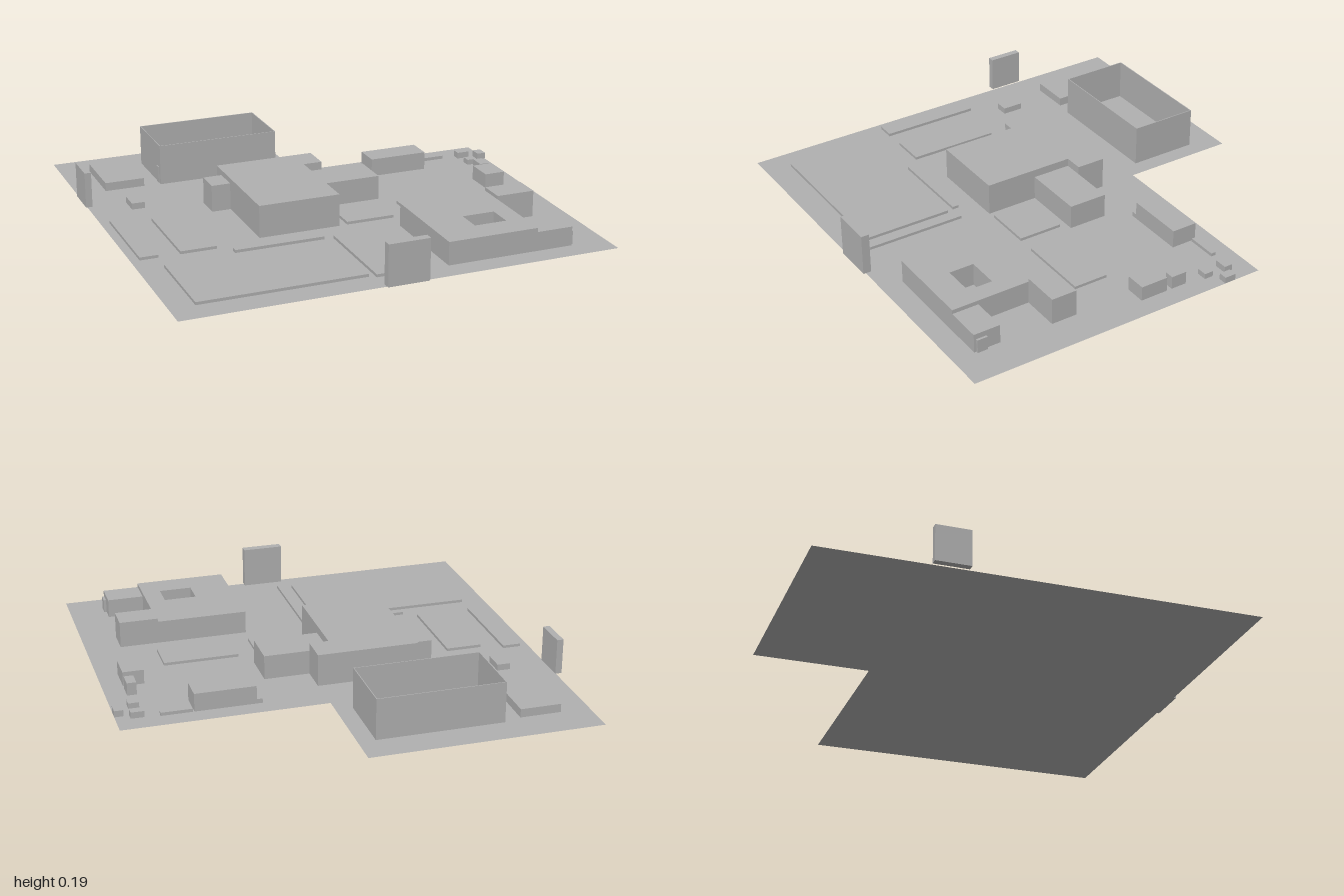
import * as THREE from 'three';

export function createModel() {
  const model = new THREE.Group();
  model.name = 'siteModel';
  const grey = new THREE.MeshStandardMaterial({ color: 0xb0b0b0 });
  grey.name = 'model grey';
  const groundGrey = grey;
  groundGrey.side = THREE.DoubleSide;

  const add = (name, geometry) => {
    const mesh = new THREE.Mesh(geometry, grey);
    mesh.name = name;
    model.add(mesh);
    return mesh;
  };

  // Box given by its plan limits and its bottom and top heights
  const block = (name, x0, x1, z0, z1, top, bottom = 0.001) => {
    const g = new THREE.BoxGeometry(x1 - x0, top - bottom, z1 - z0);
    g.translate((x0 + x1) / 2, (bottom + top) / 2, (z0 + z1) / 2);
    return add(name, g);
  };

  // Plan outlines are [x, z]; rotation lays them down, so z is negated
  const toPoints = (plan) => plan.map(([x, z]) => new THREE.Vector2(x, -z));
  const rect = (x0, x1, z0, z1) => [[x0, z0], [x0, z1], [x1, z1], [x1, z0]];
  const planShape = (outer, hole) => {
    const shape = new THREE.Shape(toPoints(outer));
    if (hole) shape.holes.push(new THREE.Path(toPoints(hole)));
    return shape;
  };
  const extrudePlan = (name, height, outer, hole) => {
    const g = new THREE.ExtrudeGeometry(planShape(outer, hole), { depth: height - 0.001, bevelEnabled: false });
    g.rotateX(-Math.PI / 2);
    g.translate(0, 0.001, 0);
    return add(name, g);
  };

  // Ground sheet with a missing corner
  const ground = new THREE.ShapeGeometry(planShape([
    [-0.985, -0.985], [-0.985, 0.965], [0.995, 0.965], [0.995, -0.457], [0.07, -0.457], [0.07, -0.985],
  ]));
  ground.rotateX(-Math.PI / 2);
  add('ground', ground);

  // Roofless hall with thin walls and a side door
  extrudePlan('openHall', 0.19,
    rect(-0.585, -0.008, -0.845, -0.528), rect(-0.581, -0.012, -0.841, -0.532));
  block('hallDoor', -0.588, -0.584, -0.578, -0.55, 0.08);

  // Stepped main building and its wings
  extrudePlan('mainBuilding', 0.15, [
    [-0.39, -0.28], [-0.39, 0.278], [-0.013, 0.278], [-0.013, -0.146], [0.075, -0.146], [0.075, -0.28],
  ]);
  block('mainWestWing', -0.478, -0.39, -0.217, -0.098, 0.125);
  block('mainEastWing', -0.013, 0.284, -0.146, 0.035, 0.113);

  // Courtyard building with two annexes and a porch
  extrudePlan('courtyardBuilding', 0.107,
    rect(0.236, 0.655, 0.377, 0.864), rect(0.42, 0.57, 0.622, 0.738));
  block('tallAnnex', 0.655, 0.834, 0.377, 0.497, 0.123);
  block('lowAnnex', 0.655, 0.823, 0.74, 0.864, 0.088);
  block('annexPorch', 0.823, 0.834, 0.805, 0.853, 0.063);

  // Long shed with a low end step and a strip beside it
  block('longShed', 0.378, 0.655, -0.373, -0.253, 0.085);
  block('shedStep', 0.352, 0.378, -0.373, -0.253, 0.022);
  block('shedStrip', 0.662, 0.802, -0.373, -0.351, 0.016);

  // Upright gate slabs
  block('frontGate', -0.093, 0.096, 0.94, 0.977, 0.19);
  block('sideGate', -1.0, -0.97, -0.487, -0.33, 0.178, 0.014);

  // Small outbuildings: x0, x1, z0, z1, top
  [
    [-0.85, -0.664, -0.822, -0.536, 0.04],
    [-0.805, -0.745, -0.357, -0.26, 0.03],
    [0.87, 0.93, -0.363, -0.324, 0.03],
    [0.955, 0.995, -0.33, -0.277, 0.03],
    [0.874, 0.922, -0.266, -0.224, 0.026],
    [0.859, 0.902, -0.137, -0.063, 0.06],
    [0.806, 0.902, -0.037, 0.093, 0.068],
  ].forEach((d, i) => block(`outbuilding${i + 1}`, ...d));

  // Flat raised courts and beds
  [
    [0.025, 0.25, 0.07, 0.277],
    [0.337, 0.683, 0.12, 0.281],
    [-0.946, -0.862, -0.137, 0.323],
    [-0.765, -0.602, -0.095, 0.323],
    [-0.545, -0.134, 0.367, 0.398],
    [-0.873, -0.121, 0.43, 0.846],
    [-0.093, -0.05, 0.403, 0.864],
  ].forEach((d, i) => block(`flatCourt${i + 1}`, ...d, 0.014));

  return model;
}
